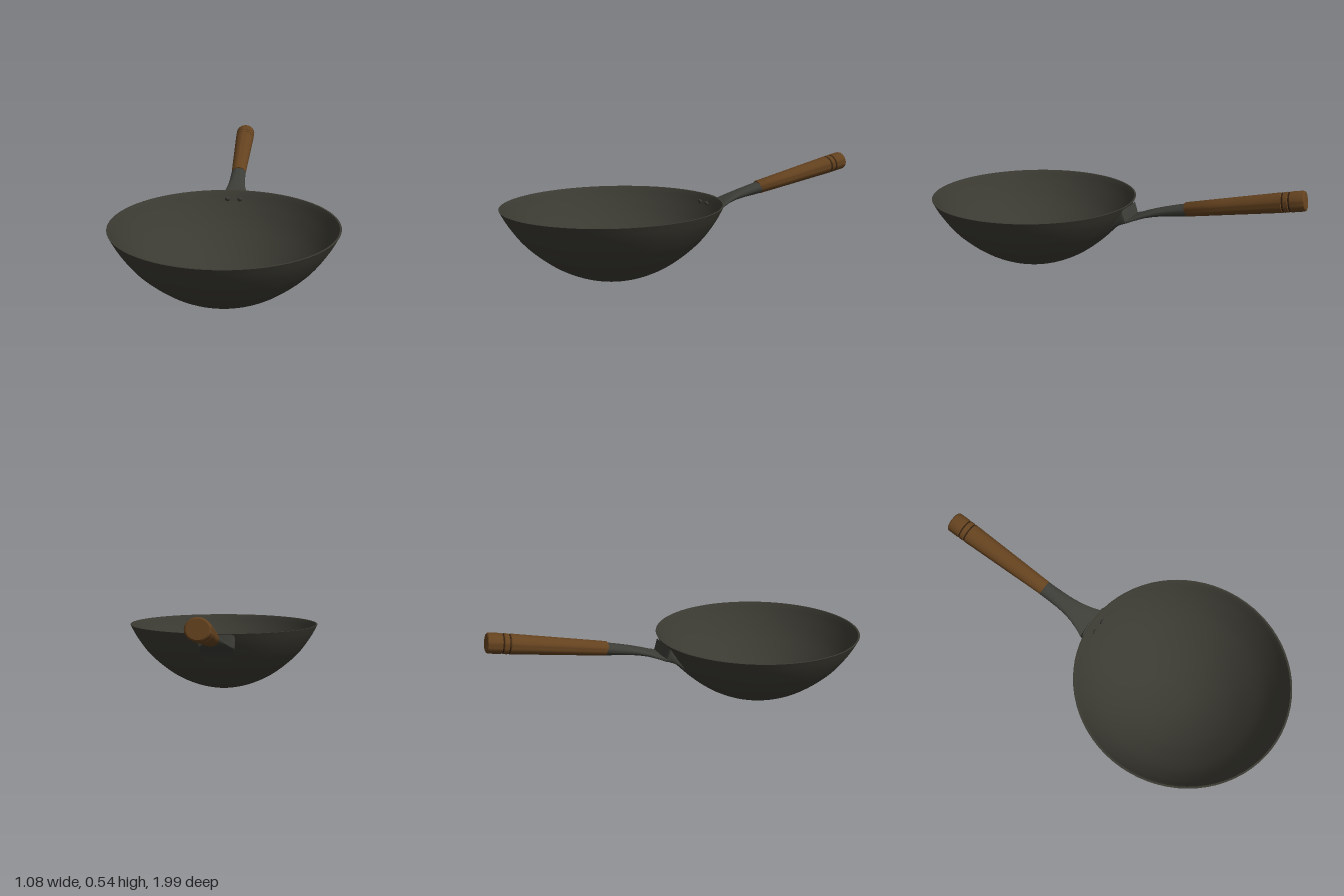
import * as THREE from 'three';
import { toCreasedNormals } from 'three/addons/utils/BufferGeometryUtils.js';

const mat = (name, color, side = THREE.FrontSide) => {
  const m = new THREE.MeshStandardMaterial({ color, side });
  m.name = name;
  return m;
};

// Revolves a [radius, height] profile, keeping sharp corners
const lathe = (profile, segments, crease) => toCreasedNormals(
  new THREE.LatheGeometry(profile.map(([r, y]) => new THREE.Vector2(r, y)), segments), crease);

// Skins sections [z, top, bottom, halfWidth, squareness, wrap around the bowl]
function loft(sections, sides) {
  const pos = [], index = [];
  for (const [z, top, bottom, w, power, wrap] of sections) {
    for (let i = 0; i < sides; i++) {
      const a = (i / sides) * Math.PI * 2;
      const c = Math.cos(a), s = Math.sin(a);
      const x = Math.sign(c) * Math.abs(c) ** power;
      const y = Math.sign(s) * Math.abs(s) ** power;
      pos.push(x * w, (top + bottom) / 2 + y * (top - bottom) / 2, z + wrap * x * x);
    }
  }
  for (let j = 0; j < sections.length - 1; j++) {
    for (let i = 0; i < sides; i++) {
      const k = (i + 1) % sides;
      const a = j * sides + i, b = j * sides + k, c = a + sides, d = b + sides;
      index.push(a, c, b, b, c, d);
    }
  }
  const g = new THREE.BufferGeometry();
  g.setAttribute('position', new THREE.Float32BufferAttribute(pos, 3));
  g.setIndex(index);
  // wind the faces outward for sections running toward -z
  const idx = g.index.array;
  for (let i = 0; i < idx.length; i += 3) [idx[i + 1], idx[i + 2]] = [idx[i + 2], idx[i + 1]];
  return toCreasedNormals(g, 0.6);
}

export function createModel() {
  const model = new THREE.Group();
  model.name = 'wok';
  const iron = mat('dark iron', 0x3b3a32);
  const steel = mat('socket steel', 0x3c3d37, THREE.DoubleSide);
  const wood = mat('brown wood', 0x64421f);
  const burnt = mat('burnt wood', 0x2e1d0e);

  const add = (parent, name, geometry, material) => {
    const mesh = new THREE.Mesh(geometry, material);
    mesh.name = name;
    parent.add(mesh);
    return mesh;
  };

  // Bowl: thin shell, outer wall up and inner wall back down
  const curve = new THREE.SplineCurve([
    [0, 0], [0.09, 0.008], [0.2, 0.042], [0.31, 0.102],
    [0.425, 0.2], [0.5, 0.3], [0.54, 0.375],
  ].map(([x, y]) => new THREE.Vector2(x, y)));
  const outer = curve.getPoints(24).map((p) => [Math.max(p.x, 0), Math.max(p.y, 0)]);
  const inner = outer.map(([r, y], i) => {
    const t = i / 24;
    return [Math.max(r - 0.009 * t, 0), i === 24 ? y : y + 0.009 * (1 - t * 0.6)];
  }).reverse();
  const bowl = add(model, 'bowl', lathe([...outer, ...inner], 72, 0.6), iron);
  bowl.scale.z = 1.018;
  bowl.position.z = 0.45;

  // Socket: plate hugging the bowl, narrowing into a tube for the handle
  add(model, 'handleSocket', loft([
    [0.0, 0.222, 0.217, 0.07, 0.5, 0.008],
    [-0.03, 0.26, 0.248, 0.085, 0.45, 0.008],
    [-0.06, 0.302, 0.272, 0.093, 0.35, 0.009],
    [-0.09, 0.35, 0.287, 0.095, 0.3, 0.009],
    [-0.106, 0.374, 0.293, 0.095, 0.3, 0.009],
    [-0.12, 0.317, 0.299, 0.09, 0.35, 0.006],
    [-0.15, 0.331, 0.311, 0.074, 0.5, 0],
    [-0.2, 0.354, 0.326, 0.057, 0.65, 0],
    [-0.25, 0.374, 0.335, 0.047, 0.8, 0],
    [-0.3, 0.39, 0.342, 0.043, 0.9, 0],
    [-0.36, 0.407, 0.348, 0.041, 1, 0],
    [-0.42, 0.421, 0.356, 0.04, 1, 0],
  ], 32), steel);

  // Rivets on the inside of the wall, below the rim
  for (const side of [-1, 1]) {
    const rivet = add(model, side > 0 ? 'leftRivet' : 'rightRivet',
      new THREE.SphereGeometry(0.014, 16, 10), steel);
    rivet.scale.z = 0.6;
    rivet.position.set(side * 0.033, 0.335, -0.064);
    rivet.rotation.x = 0.5;
  }

  // Wooden grip, turned with two grooves near its end
  const grip = new THREE.Group();
  grip.name = 'grip';
  grip.position.set(0, 0.388, -0.405);
  grip.rotation.x = -THREE.MathUtils.degToRad(79.2);
  grip.scale.x = 1.12;
  model.add(grip);

  const radiusAt = (y) => 0.036 + 0.013 * Math.min(1, y / 0.5);
  const grooves = [0.487, 0.518];
  const profile = [[0, 0], [0.034, 0], [0.036, 0.004], [radiusAt(0.2), 0.2], [radiusAt(0.4), 0.4]];
  for (const y of grooves) {
    const r = radiusAt(y);
    profile.push([r, y - 0.006], [r - 0.004, y - 0.002], [r - 0.004, y + 0.002], [r, y + 0.006]);
  }
  profile.push([0.049, 0.58], [0.047, 0.588], [0.042, 0.592], [0, 0.592]);
  add(grip, 'woodenHandle', lathe(profile, 32, 0.5), wood);

  // Dark lines burnt into the grooves
  for (const y of grooves) {
    const r = radiusAt(y) - 0.0025;
    const ring = add(grip, 'grooveRing', new THREE.CylinderGeometry(r, r, 0.006, 32, 1, true), burnt);
    ring.position.y = y;
  }
  return model;
}
